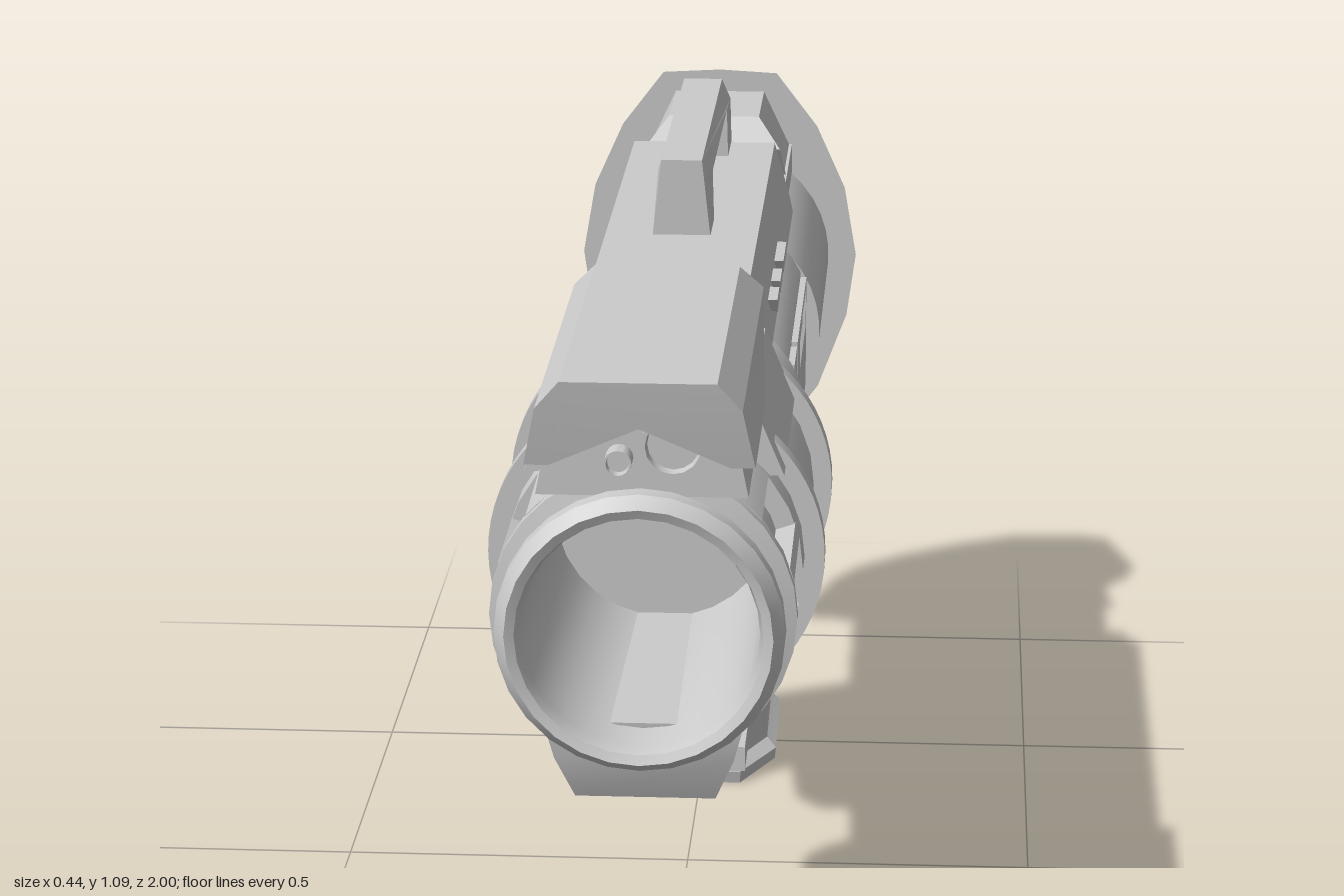
import * as THREE from 'three';
import { toCreasedNormals } from 'three/addons/utils/BufferGeometryUtils.js';

const AXIS = 0.7; // height of the barrel axis

export function createModel() {
  const model = new THREE.Group();
  const material = new THREE.MeshStandardMaterial({ color: 0xcccccc });

  function add(name, geometry, crease = 0.5) {
    const mesh = new THREE.Mesh(toCreasedNormals(geometry, crease), material);
    mesh.name = name;
    model.add(mesh);
    return mesh;
  }

  // Makes a closed geometry face outwards
  function outward(geometry) {
    const g = geometry.index ? geometry.toNonIndexed() : geometry;
    const p = g.attributes.position;
    const [a, b, c] = [0, 1, 2].map(() => new THREE.Vector3());
    let volume = 0;
    for (let i = 0; i < p.count; i += 3) {
      a.fromBufferAttribute(p, i);
      b.fromBufferAttribute(p, i + 1);
      c.fromBufferAttribute(p, i + 2);
      volume += a.dot(b.clone().cross(c));
    }
    if (volume < 0) for (let i = 0; i < p.count; i += 3) {
      b.fromBufferAttribute(p, i + 1);
      c.fromBufferAttribute(p, i + 2);
      p.setXYZ(i + 1, c.x, c.y, c.z);
      p.setXYZ(i + 2, b.x, b.y, b.z);
    }
    return g;
  }

  // Skin over matching rings of [x, y, z], capped at both ends
  function loft(rings) {
    const v = [], n = rings[0].length;
    const cap = (r, flip) => {
      const mid = [0, 1, 2].map(k => r.reduce((s, q) => s + q[k], 0) / n);
      r.forEach((q, i) => {
        const next = r[(i + 1) % n];
        v.push(...mid, ...(flip ? next : q), ...(flip ? q : next));
      });
    };
    cap(rings[0], false);
    for (let s = 0; s + 1 < rings.length; s++) for (let i = 0; i < n; i++) {
      const j = (i + 1) % n, [r, t] = [rings[s], rings[s + 1]];
      v.push(...r[i], ...t[i], ...t[j], ...r[i], ...t[j], ...r[j]);
    }
    cap(rings[rings.length - 1], true);
    const g = new THREE.BufferGeometry();
    g.setAttribute('position', new THREE.Float32BufferAttribute(v, 3));
    return outward(g);
  }

  const shapeOf = pts => new THREE.Shape(pts.map(p => new THREE.Vector2(...p)));

  // Side profile of [z, y] extruded across x; halfWidth may depend on y
  function prism(pts, halfWidth, hole) {
    const shape = shapeOf(pts);
    if (hole) shape.holes.push(shapeOf(hole));
    const g = new THREE.ExtrudeGeometry(shape, { depth: 2, bevelEnabled: false });
    g.translate(0, 0, -1).rotateY(-Math.PI / 2);
    const p = g.attributes.position;
    for (let i = 0; i < p.count; i++) {
      const w = typeof halfWidth === 'function' ? halfWidth(p.getY(i)) : halfWidth;
      p.setX(i, p.getX(i) * w);
    }
    return g;
  }

  // Piecewise linear width from [y, halfWidth] stops
  const taper = (...stops) => y => {
    for (let i = 0; i + 1 < stops.length; i++) {
      const [[y0, w0], [y1, w1]] = [stops[i], stops[i + 1]];
      if (y <= y1) return w0 + (w1 - w0) * Math.max(0, (y - y0) / (y1 - y0));
    }
    return stops[stops.length - 1][1];
  };
  const rect = (z0, z1, y0, y1) => [[z0, y0], [z1, y0], [z1, y1], [z0, y1]];
  const box = (w, h, d, x, y, z) => new THREE.BoxGeometry(w, h, d).translate(x, y, z);

  // Curved band around the barrel axis
  function band(r0, r1, a0, a1, z0, z1) {
    const shape = new THREE.Shape();
    shape.absarc(0, 0, r1, a0, a1, false);
    shape.absarc(0, 0, r0, a1, a0, true);
    return new THREE.ExtrudeGeometry(shape, { depth: z1 - z0, bevelEnabled: false, curveSegments: 10 })
      .translate(0, AXIS, z0);
  }

  // Hollow muzzle and front barrel, profile of [radius, z]
  const barrel = [[0, 0.5], [0.145, 0.5], [0.147, 0.975], [0.152, 0.995], [0.164, 1], [0.178, 0.98],
    [0.178, 0.955], [0.165, 0.935], [0.165, 0.92], [0.19, 0.915], [0.19, 0.895], [0.165, 0.895],
    [0.165, 0.725], [0.19, 0.725], [0.192, 0.35], [0.155, 0.29], [0.155, 0.1], [0, 0.1]];
  add('barrel', outward(new THREE.LatheGeometry(barrel.map(p => new THREE.Vector2(...p)), 28)
    .rotateX(Math.PI / 2).translate(0, AXIS, 0)));

  // Rear tube: circle with flat bottom and flat sides beside the panels
  const tubeRing = (r, z, limit = 1) => Array.from({ length: 40 }, (_, i) => {
    const a = (i + 0.5) / 40 * Math.PI * 2;
    return [THREE.MathUtils.clamp(r * Math.cos(a), -limit, limit),
      Math.max(0.565, AXIS + r * Math.sin(a)), z];
  });
  add('tubeCollar', loft([tubeRing(0.155, 0.17), tubeRing(0.175, 0.09)]));
  add('tubeMiddle', loft([tubeRing(0.175, 0.09, 0.146), tubeRing(0.175, -0.4, 0.146)]));
  add('tubeRear', loft([tubeRing(0.175, -0.4), tubeRing(0.175, -0.87)]));
  add('topRail', prism([[0.33, 0.88], [0.29, 0.83], [-0.87, 0.83], [-0.87, 0.88]], 0.115));
  add('bottomRail', prism(rect(0.3, -0.87, 0.556, 0.59), 0.1));

  for (const s of [-1, 1]) {
    // Side panels with a slot
    add('sidePanel', prism(rect(-0.035, -0.395, 0.62, 0.785), 0.005, rect(-0.055, -0.375, 0.715, 0.77))
      .translate(s * 0.15, 0, 0));
    add('sidePanelFront', box(0.01, 0.165, 0.095, s * 0.15, 0.7025, 0.035));
    add('slotBar', box(0.008, 0.035, 0.29, s * 0.147, 0.7425, -0.215));
    // Barrel straps and vents
    const mid = s > 0 ? 0 : Math.PI;
    for (const z of [0.34, 0.645])
      add('strap', band(0.18, 0.216, mid - 0.95, mid + 0.95, z, z + 0.028));
    for (const a of [-0.28, 0.28])
      add('ventBar', band(0.155, 0.19, mid + a - 0.05, mid + a + 0.05, 0.72, 0.9));
    add('ventCover', band(0.15, 0.19, mid + 0.7, mid + Math.PI - 0.7, 0.72, 0.9));
  }

  // Block under the barrel
  add('underBlock', prism([[0.915, 0.56], [0.91, 0.51], [0.885, 0.45], [0.375, 0.45], [0.32, 0.53], [0.32, 0.56]],
    taper([0.45, 0.088], [0.53, 0.12], [0.56, 0.125])));
  add('underButton', box(0.03, 0.032, 0.11, 0.108, 0.49, 0.795)).name = 'sideCatch';

  // Top housing, front cover and sights
  add('topHousing', prism([[0.93, 0.86], [0.93, 0.985], [-0.42, 0.985], [-0.5, 0.88], [-0.5, 0.86]],
    taper([0.86, 0.13], [0.985, 0.105])), 0.2);
  add('housingShoulder', prism(rect(0.71, 0.36, 0.82, 0.915), taper([0.82, 0.165], [0.915, 0.125])), 0.2);
  add('frontCover', loft([[0.99, 0.985, 0.97, 1], [0.7, 0.69, 0.72, 1], [0.44, 0.41, 0.72, 0]]
    .map(([zTop, zMid, zLow, lip], i) => {
      const low = lip ? 0.91 : 0.98;
      const z = i === 2 ? [0.44, 0.41, 0.41] : [zTop, zMid, zLow];
      const w = lip ? 0.14 : 0.125;
      return [[0.095, 1.02, z[0]], [0.125, 0.985, z[1]], [w, low, z[2]], [0.11, low, z[2]], [0.1, 0.975, z[1]],
        [-0.1, 0.975, z[1]], [-0.11, low, z[2]], [-w, low, z[2]], [-0.125, 0.985, z[1]], [-0.095, 1.02, z[0]]];
    })), 0.2);
  for (const [x, y, r] of [[0.04, 0.932, 0.04], [-0.027, 0.909, 0.017]]) {
    const lens = [[0, -0.02], [r, -0.02], [r, 0.025], [r * 0.85, 0.025], [r * 0.8, 0.012], [0, 0.012]];
    add('sightLens', outward(new THREE.LatheGeometry(lens.map(p => new THREE.Vector2(...p)), 16)
      .rotateX(Math.PI / 2).translate(x, y, 0.935)));
  }
  for (const [z0, z1] of [[0.18, 0.11], [0.08, 0.01], [-0.03, -0.14]])
    add('topButton', prism([[z0, 0.905], [z0 - 0.015, 0.885], [z1 - 0.015, 0.885], [z1, 0.905]], 0.012)
      .translate(0.122, 0, 0));

  // Carry handle
  add('carryHandle', prism([[0.14, 0.98], [0.14, 1.09], [-0.38, 1.09], [-0.43, 1.05], [-0.43, 0.98],
    [-0.33, 0.98], [-0.33, 1.055], [0.05, 1.055], [0.05, 0.98]], taper([0.98, 0.04], [1.055, 0.038], [1.09, 0.028])), 0.2);

  // Cheek rest and shoulder plate
  add('cheekRest', prism([[-0.66, 0.87], [-0.63, 0.925], [-0.68, 0.965], [-0.88, 0.965], [-0.88, 0.87]],
    taper([0.87, 0.115], [0.925, 0.105], [0.965, 0.07])), 0.2);
  const half = [[0.09, 0.995], [0.155, 0.91], [0.2, 0.81], [0.219, 0.7], [0.205, 0.6], [0.16, 0.48], [0.1, 0.4]];
  const plate = [[0, 1.0], ...half, [0, 0.375], ...half.map(([x, y]) => [-x, y]).reverse()];
  add('shoulderPlate', loft([
    plate.map(([x, y]) => [x, y, -0.86]),
    plate.map(([x, y]) => {
      const yb = 0.685 + (y - 0.6875) * 0.88;
      return [x * 0.9, yb, -0.92 - (yb - 0.41) * 0.145];
    }),
  ]), 0.4);

  // Grip and its foot: rows of [front z, front y, back z, back y, half width]
  const gripRing = ([zf, yf, zb, yb, w]) =>
    [[0.55, 0], [1, 0.25], [1, 0.75], [0.55, 1], [-0.55, 1], [-1, 0.75], [-1, 0.25], [-0.55, 0]]
      .map(([x, t]) => [x * w, yf + (yb - yf) * t, zf + (zb - zf) * t]);
  add('grip', loft([[-0.17, 0.575, -0.67, 0.575, 0.075], [-0.22, 0.535, -0.61, 0.535, 0.068],
    [-0.29, 0.46, -0.55, 0.476, 0.06], [-0.33, 0.38, -0.535, 0.4, 0.06], [-0.34, 0.32, -0.545, 0.36, 0.062],
    [-0.328, 0.1, -0.6, 0.14, 0.087]].map(gripRing)), 0.4);
  add('gripFoot', loft([[-0.325, 0.125, -0.598, 0.165, 0.088], [-0.31, 0.112, -0.606, 0.152, 0.1],
    [-0.325, 0.035, -0.62, 0.075, 0.1], [-0.31, 0.02, -0.632, 0.06, 0.114],
    [-0.315, 0, -0.63, 0.046, 0.112]].map(gripRing)), 0.3);
  for (const [r, x] of [[0.063, 0.064], [0.053, 0.069]])
    add('gripButton', new THREE.CylinderGeometry(r, r, 0.02, 20).rotateZ(Math.PI / 2).translate(x - 0.01, 0.34, -0.435));

  // Trigger guard
  add('triggerGuard', prism([[0.085, 0.57], [0.06, 0.47], [0, 0.38], [-0.07, 0.326], [-0.36, 0.278], [-0.36, 0.39],
    [-0.33, 0.385], [-0.27, 0.358], [-0.12, 0.37], [-0.05, 0.406], [0.005, 0.476], [0, 0.57]], 0.045));

  return model;
}
